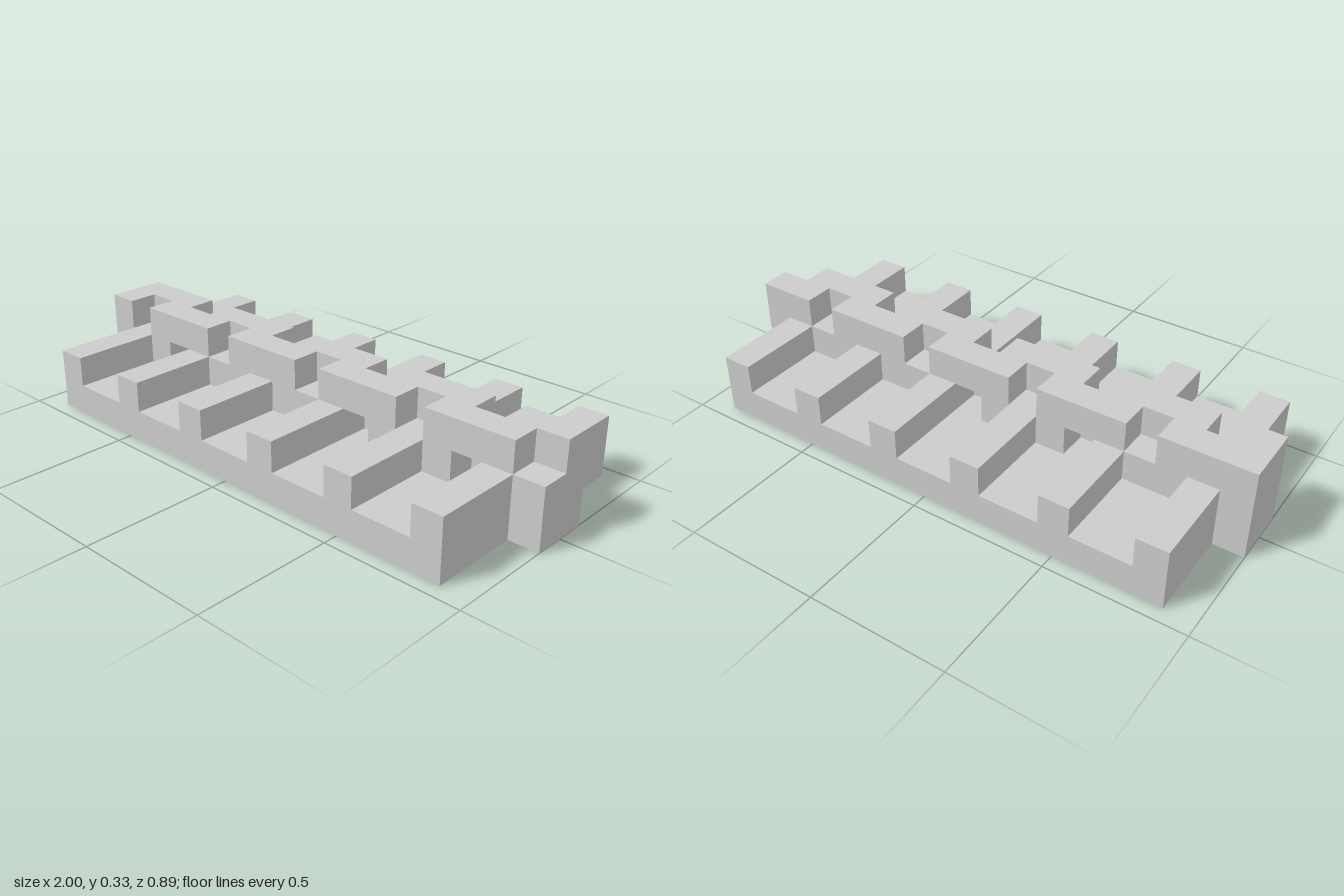
import * as THREE from 'three';

const U = 1 / 9; // module size: every edge lies on this grid
const material = new THREE.MeshStandardMaterial({ color: 0xcccccc, flatShading: true });

function extrude(points, depth) {
  const shape = new THREE.Shape(points.map(([x, y]) => new THREE.Vector2(x, y)));
  return new THREE.ExtrudeGeometry(shape, { depth, bevelEnabled: false });
}

function addPart(parent, name, geometry) {
  const mesh = new THREE.Mesh(geometry, material);
  mesh.name = name;
  parent.add(mesh);
  return mesh;
}

// Outline of one rail layer seen from above, with unit square bites on both long sides
function railLayer(frontBites, backBites) {
  const front = [[-9, -1]];
  for (const x of frontBites) front.push([x, -1], [x, 0], [x + 1, 0], [x + 1, -1]);
  front.push([9, -1]);
  const back = [[9, 1]];
  for (const x of [...backBites].reverse()) back.push([x + 1, 1], [x + 1, 0], [x, 0], [x, 1]);
  back.push([-9, 1]);
  // a bite at the end of the rail removes its corner
  const open = frontBites.includes(8);
  const points = [...front, ...back].filter(([x, y]) => !(open && x === 9 && y === -1));
  return extrude(points, 1).rotateX(-Math.PI / 2);
}

export function createModel() {
  const model = new THREE.Group();
  model.name = 'ribbedBlock';
  const body = new THREE.Group();
  body.name = 'body';
  body.scale.setScalar(U);
  model.add(body);

  // Ribbed beds on both sides: a comb profile with six ribs
  const comb = [[-8, 0], [8, 0]];
  for (let x = 7; x >= -8; x -= 3) {
    comb.push([x + 1, 2], [x, 2]);
    if (x > -8) comb.push([x, 1], [x - 2, 1]);
  }
  addPart(body, 'frontRibbedBed', extrude(comb, 3)).position.z = 1;
  addPart(body, 'backRibbedBed', extrude(comb, 3)).position.z = -4;

  // Central rail: solid foot, then two layers with alternating notches
  addPart(body, 'railFoot', new THREE.BoxGeometry(18, 1, 2)).position.y = 0.5;
  const odd = [-6, -2, 2, 6];
  const even = [-8, -4, 0, 4];
  addPart(body, 'railLowerLayer', railLayer(odd, even)).position.y = 1;
  addPart(body, 'railUpperLayer', railLayer([...even, 8], odd)).position.y = 2;

  return model;
}
